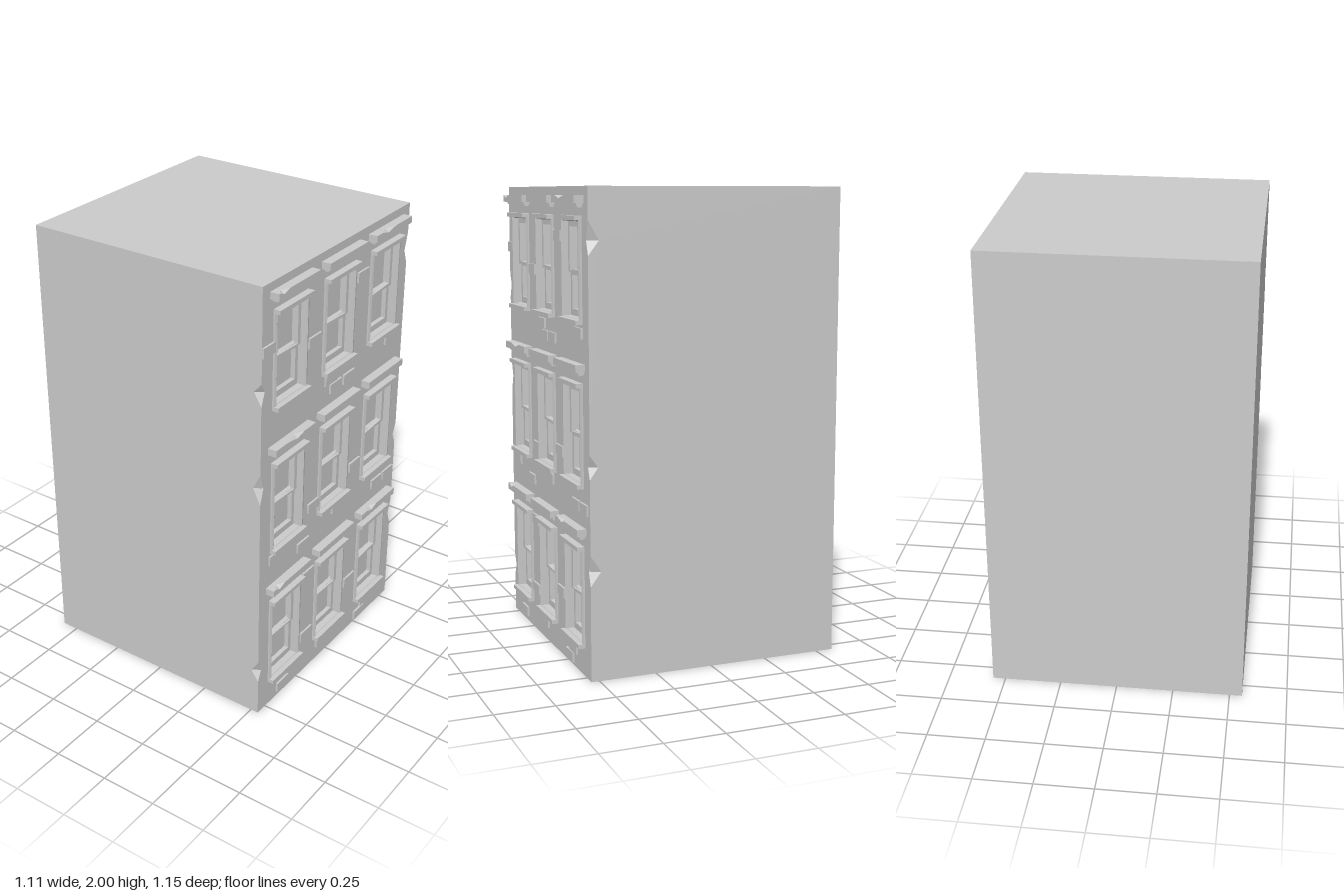
import * as THREE from 'three';
import { mergeGeometries } from 'three/addons/utils/BufferGeometryUtils.js';

const material = new THREE.MeshStandardMaterial({ color: 0xcccccc, flatShading: true, side: THREE.DoubleSide });

function addMesh(parent, geometry, name, x = 0, y = 0, z = 0) {
  const mesh = new THREE.Mesh(geometry, material);
  mesh.name = name;
  mesh.position.set(x, y, z);
  parent.add(mesh);
  return mesh;
}

const box = (w, h, d) => new THREE.BoxGeometry(w, h, d);

function polygon(points) {
  return new THREE.Shape(points.map(([x, y]) => new THREE.Vector2(x, y)));
}

function rectPath(x, y, w, h) {
  return new THREE.Path([[-1, -1], [-1, 1], [1, 1], [1, -1]].map(
    ([a, b]) => new THREE.Vector2(x + a * w / 2, y + b * h / 2)));
}

function triangles(points) {
  const g = new THREE.BufferGeometry();
  g.setAttribute('position', new THREE.Float32BufferAttribute(points.flat(), 3));
  g.computeVertexNormals();
  return g;
}

// Centred box whose two front side edges carry wedge-shaped chips.
// chip = [side, from, deepest, to, inset in x, inset in z], listed upwards
function chippedBox(w, h, d, chips, holes = []) {
  const X = w / 2, Y = h / 2, Z = d / 2;
  const at = (side) => chips.filter((c) => c[0] === side);
  const notch = (side, inset) => at(side).flatMap(([, a, m, b, ix, iz]) => {
    const k = inset === 'x' ? ix : iz;
    const e = inset === 'x' ? X : Z;
    return [[e, a], [e - k, m], [e, b]];
  });
  const flip = (list) => list.map(([x, y]) => [-x, y]).reverse();

  const front = polygon([[-X, -Y], [X, -Y], ...notch(1, 'x'), [X, Y], [-X, Y], ...flip(notch(-1, 'x'))]);
  front.holes.push(...holes);
  const left = polygon([[-Z, -Y], [Z, -Y], [Z, Y], [-Z, Y], ...flip(notch(1, 'z'))]);
  const right = polygon([[-Z, -Y], [Z, -Y], ...notch(-1, 'z'), [Z, Y], [-Z, Y]]);
  const parts = [
    new THREE.ShapeGeometry(front).translate(0, 0, Z),
    new THREE.ShapeGeometry(left).rotateY(Math.PI / 2).translate(X, 0, 0),
    new THREE.ShapeGeometry(right).rotateY(-Math.PI / 2).translate(-X, 0, 0),
    new THREE.PlaneGeometry(w, h).rotateY(Math.PI).translate(0, 0, -Z),
    new THREE.PlaneGeometry(w, d).rotateX(-Math.PI / 2).translate(0, Y, 0),
    new THREE.PlaneGeometry(w, d).rotateX(Math.PI / 2).translate(0, -Y, 0),
  ].map((g) => g.toNonIndexed().deleteAttribute('uv'));
  for (const [s, a, m, b, ix, iz] of chips) {
    const A = [s * X, a, Z], B = [s * X, b, Z];
    const P = [s * (X - ix), m, Z], Q = [s * X, m, Z - iz];
    parts.push(triangles(s > 0 ? [A, Q, P, B, P, Q] : [A, P, Q, B, Q, P]));
  }
  return mergeGeometries(parts);
}

// Mitred rectangular ring through loops of [half width, half height, z], closed by a pane
function mitredFrame(loops) {
  const corners = ([x, y, z]) => [[-x, -y, z], [x, -y, z], [x, y, z], [-x, y, z]];
  const points = [];
  for (let i = 0; i < loops.length - 1; i++) {
    const a = corners(loops[i]), b = corners(loops[i + 1]);
    for (let j = 0; j < 4; j++) {
      const k = (j + 1) % 4;
      points.push(a[j], a[k], b[k], a[j], b[k], b[j]);
    }
  }
  const e = corners(loops[loops.length - 1]);
  points.push(e[0], e[1], e[2], e[0], e[2], e[3]);
  return triangles(points);
}

// Sash with a slightly crooked meeting rail
function sash(y0, y1, paneLow, paneHigh, tiltLow, tiltHigh) {
  const shape = polygon([[-0.097, y0], [0.097, y0], [0.097, y1], [-0.097, y1]]);
  shape.holes.push(polygon([[-0.078, paneLow + tiltLow], [-0.078, paneHigh + tiltHigh],
    [0.078, paneHigh - tiltHigh], [0.078, paneLow - tiltLow]]));
  return new THREE.ExtrudeGeometry(shape, { depth: 0.02, bevelEnabled: false });
}

export function createModel() {
  const model = new THREE.Group();
  model.name = 'buildingBlock';
  const wall = 0.535;
  const columns = [-0.36, 0, 0.36];
  const rows = [0.335, 1.005, 1.67];

  // Main block with window openings and chipped front corners
  const holes = rows.flatMap((y) => columns.map((x) => rectPath(x, y - 1, 0.21, 0.4)));
  const chips = [
    [-1, -0.83, -0.78, -0.73, 0.022, 0.035],
    [-1, 0.06, 0.13, 0.2, 0.022, 0.035],
    [-1, 0.5, 0.56, 0.6, 0.022, 0.035],
    [1, -0.6, -0.54, -0.47, 0.022, 0.045],
    [1, -0.16, -0.11, -0.06, 0.022, 0.035],
    [1, 0.73, 0.79, 0.87, 0.022, 0.045],
  ];
  addMesh(model, chippedBox(1.11, 2, 1.11, chips, holes), 'walls', 0, 1, -0.02);

  const frameGeometry = mitredFrame([
    [0.12, 0.215, 0], [0.12, 0.215, 0.007], [0.108, 0.203, 0.011],
    [0.097, 0.192, 0.004], [0.097, 0.192, -0.055],
  ]);
  const railGeometry = box(0.24, 0.018, 0.03);

  // Chips along each cornice: from, deepest, to, measured towards the right end
  const corniceChips = {
    '0,0': [0.06, 0.1, 0.13], '1,0': [-0.06, -0.01, 0.06], '2,0': [0.07, 0.11, 0.14],
    '0,2': [0.02, 0.06, 0.11], '2,2': [-0.01, 0.05, 0.1],
  };

  rows.forEach((y, r) => columns.forEach((x, c) => {
    const win = new THREE.Group();
    win.name = 'window';
    win.position.set(x, y, wall);
    model.add(win);

    // Surround, recessed pane and projecting rails
    addMesh(win, frameGeometry, 'frame');
    addMesh(win, railGeometry, 'headRail', 0, 0.206, 0.016);
    addMesh(win, railGeometry, 'sillRail', 0, -0.206, 0.014);

    // Two sashes, the upper one in front
    const tilt = [0.003, 0.003, -0.004][c];
    addMesh(win, sash(-0.015, 0.192, -0.005, 0.17, tilt, 0), 'upperSash', 0, 0, -0.035);
    addMesh(win, sash(-0.192, -0.005, -0.165, -0.025, 0, tilt), 'lowerSash', 0, 0, -0.045);

    // Cornice: slab over two stepped mouldings
    const chip = corniceChips[`${r},${c}`];
    const slab = chippedBox(0.03, 0.29, 0.044, chip ? [[1, ...chip, 0.012, 0.02]] : []);
    addMesh(win, slab.rotateZ(Math.PI / 2), 'corniceSlab', 0, 0.279, 0.018);
    addMesh(win, box(0.265, 0.01, 0.03), 'corniceMoulding', 0, 0.26, 0.011);
    addMesh(win, box(0.24, 0.01, 0.02), 'corniceMoulding', 0, 0.251, 0.008);
  }));

  // Scattered raised bricks
  const bricks = [
    [-0.51, 1.73], [-0.185, 1.645], [0.18, 1.8], [-0.05, 1.42], [-0.01, 1.37], [0.095, 1.37], [0.44, 1.42],
    [-0.445, 0.755], [-0.23, 0.7], [-0.155, 0.86], [0.18, 0.9], [0.045, 0.755], [0.39, 0.71], [0.49, 0.71],
    [-0.37, 0.045], [-0.185, 0.2], [-0.18, 0.52], [0.18, 0.285], [-0.05, 0.085], [0.34, 0.085], [0.29, 0.035],
  ];
  const brickGeometry = box(0.088, 0.044, 0.018);
  for (const [x, y] of bricks) addMesh(model, brickGeometry, 'brick', x, y, wall);

  return model;
}
